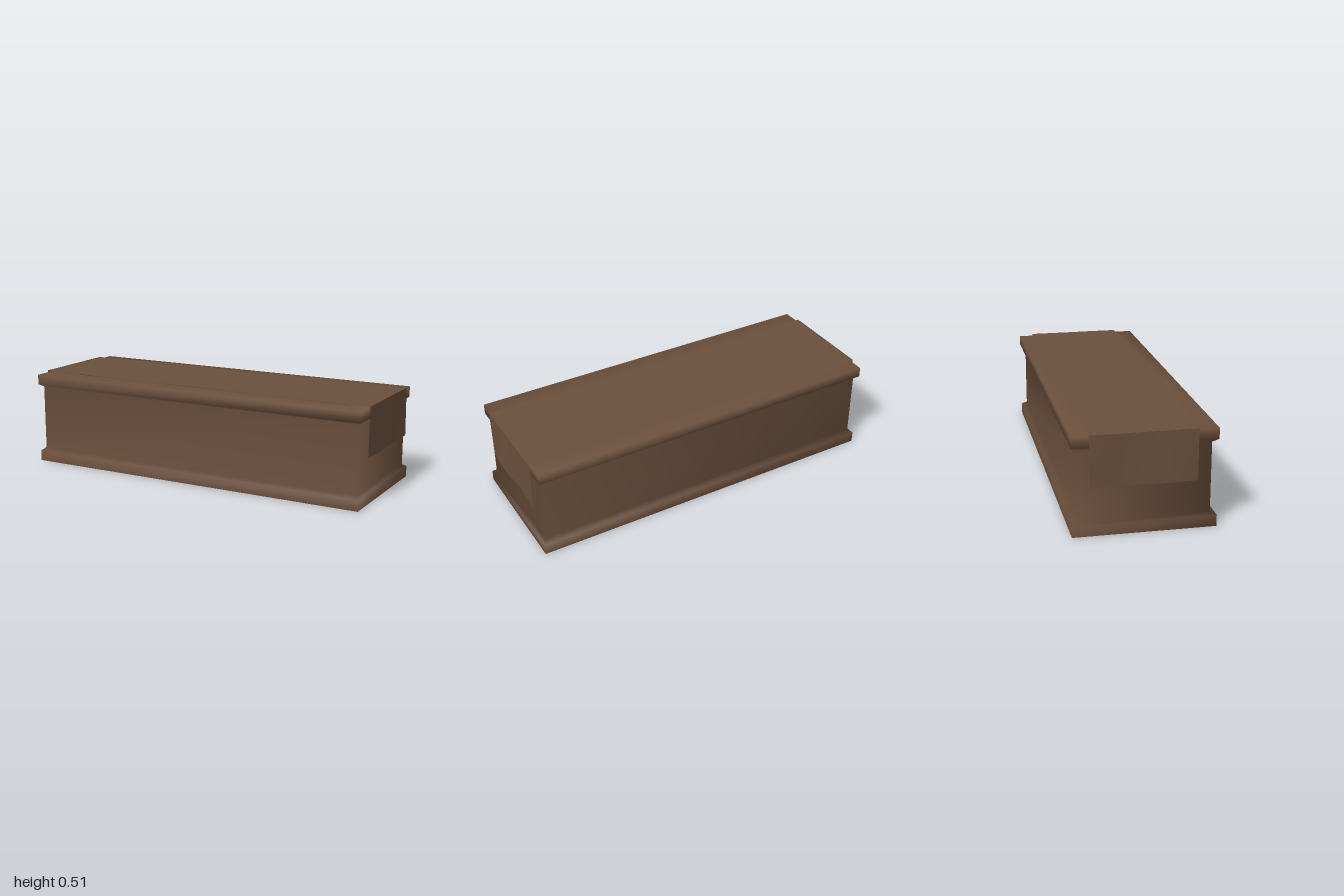
import * as THREE from 'three';

const brown = new THREE.MeshStandardMaterial({ color: 0x6b4f3c, side: THREE.DoubleSide });
brown.name = 'brown';

// Hollow rectangular shell: [half width, half depth, height] rings with shared, smooth corners
function loftRings(rings) {
  const corners = [[1, 1], [1, -1], [-1, -1], [-1, 1]];
  const positions = [], index = [];
  for (const [hx, hz, y] of rings)
    for (const [sx, sz] of corners) positions.push(sx * hx, y, sz * hz);
  for (let i = 0; i < rings.length - 1; i++)
    for (let j = 0; j < 4; j++) {
      const a = i * 4 + j, b = i * 4 + ((j + 1) % 4);
      index.push(a, b, b + 4, a, b + 4, a + 4);
    }
  const geo = new THREE.BufferGeometry();
  geo.setAttribute('position', new THREE.Float32BufferAttribute(positions, 3));
  geo.setIndex(index);
  geo.computeVertexNormals();
  return geo;
}

// Moves every vertex of a geometry by a rule
function bend(geo, rule) {
  const p = geo.attributes.position;
  const v = new THREE.Vector3();
  for (let i = 0; i < p.count; i++) {
    v.fromBufferAttribute(p, i);
    rule(v);
    p.setXYZ(i, v.x, v.y, v.z);
  }
  geo.computeVertexNormals();
  return geo;
}

export function createModel() {
  const model = new THREE.Group();
  const add = (name, geo) => {
    const mesh = new THREE.Mesh(geo, brown);
    mesh.name = name;
    model.add(mesh);
  };

  // Body with a flange at foot and top, open underneath
  add('body', loftRings([
    [0.983, 0.357, 0],
    [0.983, 0.357, 0.058],
    [0.967, 0.326, 0.073],
    [0.967, 0.326, 0.433],
    [0.983, 0.357, 0.45],
    [0.983, 0.357, 0.505],
    [0.87, 0.245, 0.506],
  ]));

  // Thin cover laid over the top, with slightly wavy edges
  const cover = new THREE.PlaneGeometry(1.986, 0.53, 24, 4);
  cover.rotateX(-Math.PI / 2);
  add('coverTop', bend(cover, (v) => {
    const back = v.z < -0.2;
    v.y = 0.512 + 0.002 * Math.sin(v.x * 7 + v.z * 5);
    v.z += -0.01 + (back ? 0.004 : 0.002) * Math.cos(v.x * 8);
  }));

  // Cover ends hanging down over both short sides
  for (const side of [1, -1]) {
    const flap = new THREE.PlaneGeometry(0.53, 0.262, 8, 4);
    flap.rotateY(side * Math.PI / 2);
    add(side > 0 ? 'leftFlap' : 'rightFlap', bend(flap, (v) => {
      const drop = (0.131 - v.y) / 0.262;
      v.x = side * (0.993 + 0.006 * drop * Math.sin(v.z * 14));
      v.y += 0.382;
      v.z -= 0.01;
    }));
  }
  return model;
}
